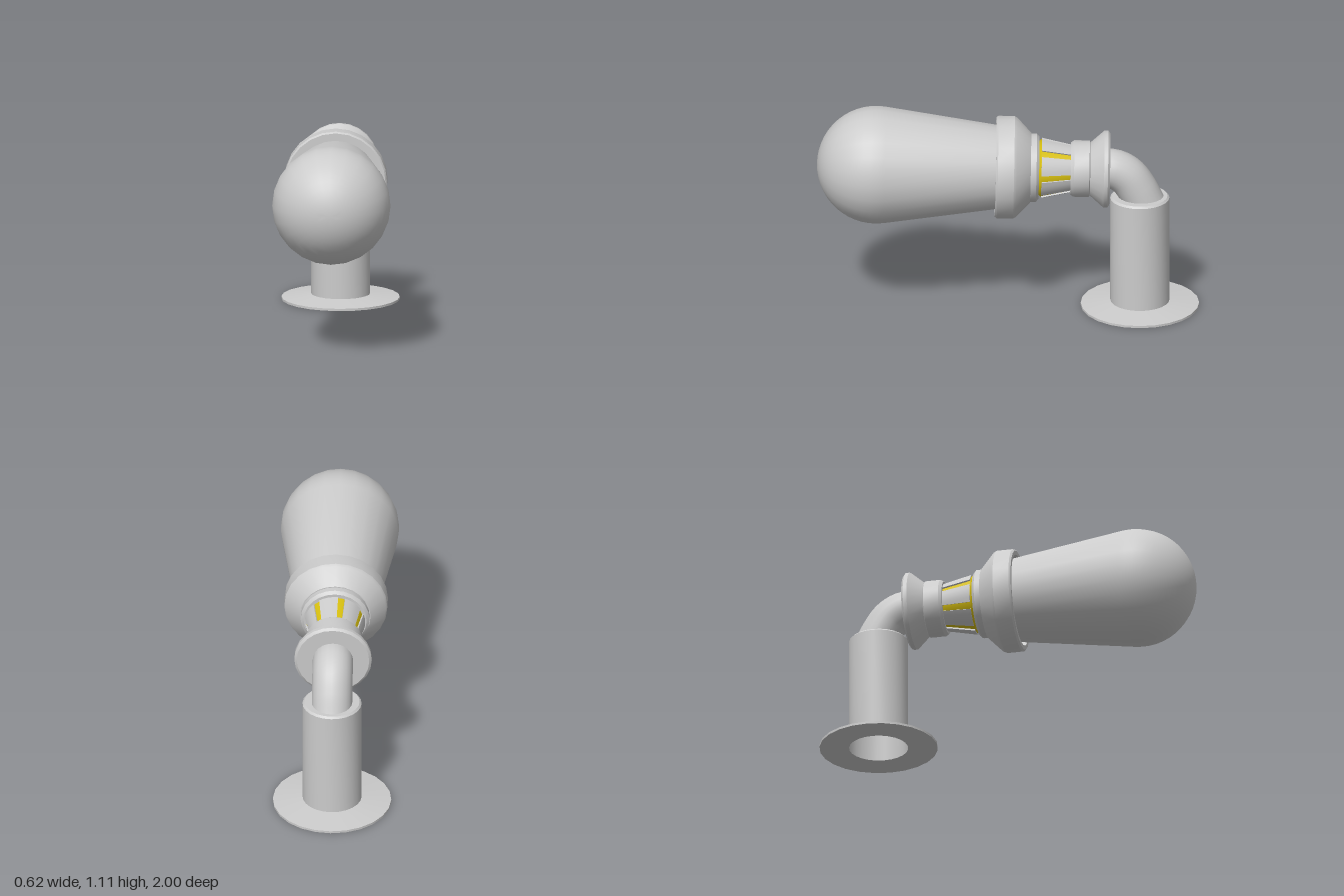
import * as THREE from 'three';
import { toCreasedNormals } from 'three/addons/utils/BufferGeometryUtils.js';

const grey = new THREE.MeshStandardMaterial({ color: 0xcccccc, side: THREE.DoubleSide });
const yellow = new THREE.MeshStandardMaterial({ color: 0xd8c010, side: THREE.DoubleSide });

// Turned part from [radius, height] pairs, listed bottom to top
function turned(name, profile, material = grey) {
  const points = profile.map(([r, h]) => new THREE.Vector2(r, h));
  const geometry = toCreasedNormals(new THREE.LatheGeometry(points, 24), 0.4);
  const mesh = new THREE.Mesh(geometry, material);
  mesh.name = name;
  return mesh;
}

// Turned part whose axis runs along z
function turnedAlongZ(name, profile, material) {
  const mesh = turned(name, profile, material);
  mesh.rotation.x = Math.PI / 2;
  return mesh;
}

// Curved, tapered plate of the vented neck, centred on an angle around z
function ventPlate(angle, width) {
  const g = new THREE.BoxGeometry(1, 1, 1, 4, 1, 1);
  const p = g.attributes.position;
  for (let i = 0; i < p.count; i++) {
    const a = angle - p.getX(i) * width;
    const t = p.getY(i) + 0.5; // 0 at the back, 1 at the front
    const r = p.getZ(i) > 0 ? 0.125 + 0.033 * t : 0.085 + 0.033 * t;
    p.setXYZ(i, r * Math.cos(a), r * Math.sin(a), -0.33 + 0.155 * t);
  }
  const mesh = new THREE.Mesh(toCreasedNormals(g, 0.4), grey);
  mesh.name = 'ventPlate';
  return mesh;
}

export function createModel() {
  const model = new THREE.Group();
  model.name = 'wallLamp';

  // Upright stand: flange and hollow post
  const stand = new THREE.Group();
  stand.name = 'stand';
  stand.position.z = -0.69;
  stand.add(
    turned('baseFlange', [[0.155, 0], [0.31, 0], [0.31, 0.012], [0.155, 0.03]]),
    turned('post', [[0.155, 0], [0.155, 0.612], [0.145, 0.622], [0, 0.622]])
  );
  model.add(stand);

  // Bent pipe from the post to the lamp head
  const path = new THREE.CatmullRomCurve3(
    [[0.778, -0.5], [0.772, -0.56], [0.735, -0.623], [0.666, -0.674], [0.573, -0.72]]
      .map(([y, z]) => new THREE.Vector3(0, y, z))
  );
  // The tail of the pipe stays sunk in the post
  const elbow = new THREE.Mesh(new THREE.TubeGeometry(path, 16, 0.106, 24), grey);
  elbow.name = 'elbowPipe';
  model.add(elbow);

  // Lamp head, tilted up very slightly
  const head = new THREE.Group();
  head.name = 'lampHead';
  head.position.y = 0.785;
  head.rotation.x = -0.022;
  model.add(head);

  // Bulb: tapered stem running into a round end
  const bulbProfile = [[0, -0.02], [0.205, -0.02], [0.222, 0.06]];
  for (let i = 0; i <= 14; i++) {
    const a = -0.14 + (Math.PI / 2 + 0.14) * i / 14;
    bulbProfile.push([Math.max(0, 0.31 * Math.cos(a)), 0.69 + 0.31 * Math.sin(a)]);
  }
  head.add(turnedAlongZ('bulb', bulbProfile));

  // Socket ring with a recessed mouth, and the collar behind it
  head.add(turnedAlongZ('socketRing', [
    [0, -0.118], [0.185, -0.118], [0.262, -0.045], [0.27, -0.03], [0.27, 0.055],
    [0.262, 0.065], [0.24, 0.065], [0.235, 0.01], [0, 0.01]
  ]));
  head.add(turnedAlongZ('collar', [
    [0, -0.162], [0.165, -0.162], [0.18, -0.148], [0.18, -0.11], [0, -0.11]
  ]));

  // Glowing core showing between seven plates
  head.add(turnedAlongZ('glowCore', [
    [0, -0.335], [0.116, -0.335], [0.151, -0.172], [0.135, -0.155], [0, -0.155]
  ], yellow));
  const plates = 7;
  const pitch = 2 * Math.PI / plates;
  for (let i = 0; i < plates; i++) head.add(ventPlate((i + 0.5) * pitch, pitch - 0.24));

  // Rear neck flaring out to the mounting rim
  head.add(turnedAlongZ('rearNeck', [
    [0, -0.533], [0.19, -0.533], [0.203, -0.522], [0.203, -0.502], [0.14, -0.43],
    [0.149, -0.425], [0.149, -0.345], [0.138, -0.328], [0, -0.328]
  ]));

  return model;
}
